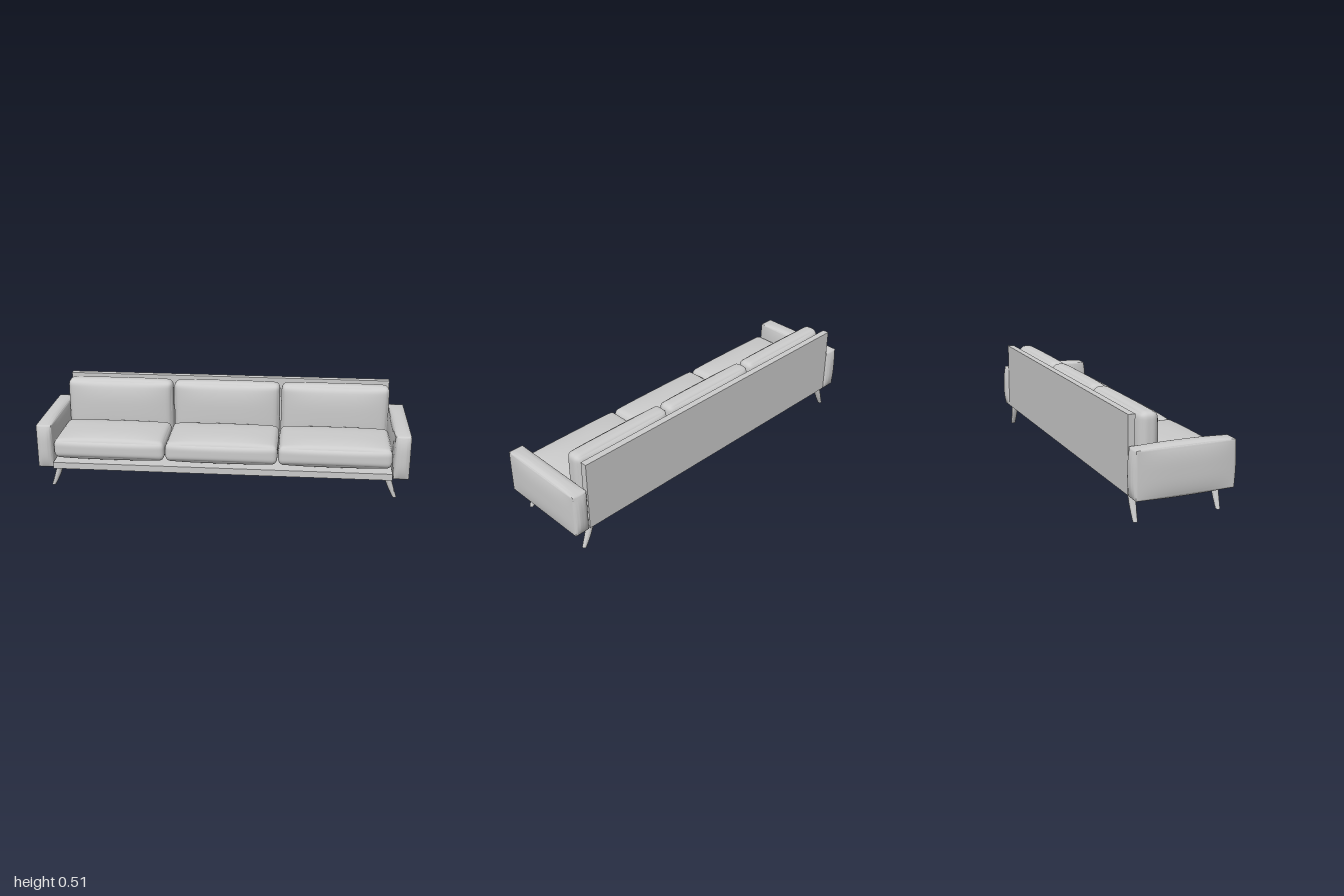
import * as THREE from 'three';
import { mergeVertices, toCreasedNormals } from 'three/addons/utils/BufferGeometryUtils.js';

const material = new THREE.MeshStandardMaterial({ color: 0xcccccc });

function addMesh(parent, name, geometry, x, y, z) {
  const mesh = new THREE.Mesh(geometry, material);
  mesh.name = name;
  mesh.position.set(x, y, z);
  parent.add(mesh);
  return mesh;
}

// Padded box: half sizes, edge radii and outward swell, each given per axis.
function paddedBox(half, radius, swell, crease) {
  let geometry = new THREE.BoxGeometry(2, 2, 2, 24, 24, 24);
  geometry.deleteAttribute('uv');
  geometry.deleteAttribute('normal');
  geometry = mergeVertices(geometry, 1e-4);
  const pos = geometry.attributes.position;
  for (let i = 0; i < pos.count; i++) {
    // Sine spacing gathers the rows near the edges.
    const u = [pos.getX(i), pos.getY(i), pos.getZ(i)].map((c) => Math.sin(c * Math.PI / 2));
    const inner = u.map((c, k) => THREE.MathUtils.clamp(c * half[k], radius[k] - half[k], half[k] - radius[k]));
    const d = u.map((c, k) => (c * half[k] - inner[k]) / radius[k]);
    const length = Math.hypot(...d) || 1;
    const p = u.map((c, k) => {
      const a = u[(k + 1) % 3], b = u[(k + 2) % 3];
      const puff = swell[k] * c * (1 - Math.abs(a) ** 3) * (1 - Math.abs(b) ** 3);
      return inner[k] + radius[k] * d[k] / length + puff;
    });
    pos.setXYZ(i, ...p);
  }
  geometry.computeVertexNormals();
  return crease ? toCreasedNormals(geometry, crease) : geometry;
}

// Tapered leg with a gentle outward curve, capped at both ends.
function legGeometry() {
  const geometry = new THREE.CylinderGeometry(1, 1, 1, 20, 10);
  const pos = geometry.attributes.position;
  for (let i = 0; i < pos.count; i++) {
    const t = 0.5 - pos.getY(i); // 0 at the top, 1 at the floor
    const r = 0.018 - 0.007 * t * t;
    const lean = 0.035 * t + 0.012 * t * t;
    pos.setXYZ(i, pos.getX(i) * r + lean, 0.13 * (1 - t), pos.getZ(i) * r);
  }
  geometry.computeVertexNormals();
  return toCreasedNormals(geometry, 0.7);
}

export function createModel() {
  const sofa = new THREE.Group();
  sofa.name = 'sofa';

  // Frame
  addMesh(sofa, 'seatBase', new THREE.BoxGeometry(1.8, 0.035, 0.535), 0, 0.1425, 0.009);
  addMesh(sofa, 'backPanel', new THREE.BoxGeometry(1.8, 0.382, 0.035), 0, 0.316, -0.241);

  // Three seat and three back cushions
  const seat = paddedBox([0.297, 0.052, 0.168], [0.025, 0.035, 0.025], [0.002, 0.02, 0.006]);
  const back = paddedBox([0.295, 0.17, 0.046], [0.03, 0.03, 0.036], [0.002, 0.004, 0.026]);
  for (const x of [-0.6, 0, 0.6]) {
    addMesh(sofa, 'seatCushion', seat, x, 0.232, 0.098);
    addMesh(sofa, 'backCushion', back, x, 0.334, -0.145);
  }

  // Padded arms and splayed legs, mirrored left and right
  const arm = paddedBox([0.041, 0.119, 0.254], [0.003, 0.003, 0.003], [0.012, 0.013, 0.018], 0.6);
  const leg = legGeometry();
  for (const side of [1, -1]) {
    const name = side > 0 ? 'left' : 'right';
    addMesh(sofa, name + 'Arm', arm, side * 0.947, 0.241, -0.003);
    for (const [end, z] of [['Front', 0.204], ['Back', -0.23]]) {
      const mesh = addMesh(sofa, name + end + 'Leg', leg, side * 0.877, 0, z);
      if (side < 0) mesh.rotation.y = Math.PI;
    }
  }
  return sofa;
}
